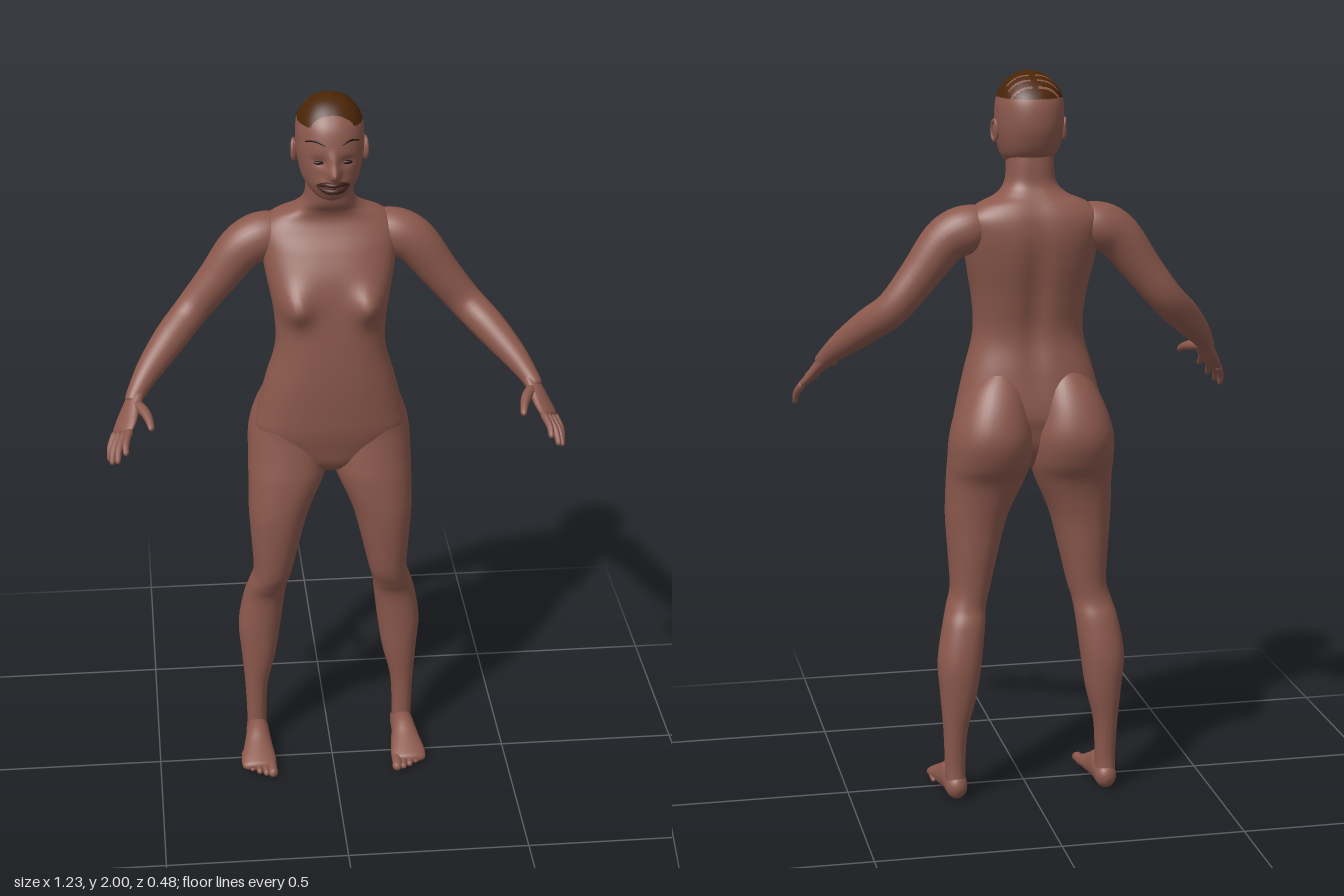
import * as THREE from 'three';

const V = (x, y, z) => new THREE.Vector3(x, y, z);
const bump = (a, s) => Math.exp(-(a * a) / (s * s));

// Closed smooth surface through a list of equally sized rings
function skin(rings) {
  const n = rings[0].length, pos = [], idx = [];
  rings.forEach(r => r.forEach(p => pos.push(p.x, p.y, p.z)));
  for (let i = 0; i < rings.length - 1; i++) {
    for (let j = 0; j < n; j++) {
      const a = i * n + j, b = i * n + (j + 1) % n;
      idx.push(a, b, a + n, b, b + n, a + n);
    }
  }
  const last = (rings.length - 1) * n, c0 = rings.length * n, c1 = c0 + 1;
  [rings[0], rings[rings.length - 1]].forEach(r => {
    const c = r.reduce((s, p) => s.add(p), V(0, 0, 0)).divideScalar(n);
    pos.push(c.x, c.y, c.z);
  });
  for (let j = 0; j < n; j++) {
    const k = (j + 1) % n;
    idx.push(c0, k, j, c1, last + j, last + k);
  }
  const g = new THREE.BufferGeometry();
  g.setAttribute('position', new THREE.Float32BufferAttribute(pos, 3));
  g.setIndex(idx);
  g.computeVertexNormals();
  return g;
}

const spline = pts => new THREE.CatmullRomCurve3(pts, false, 'catmullrom', 0.5);

// Horizontal sections: [y, centre x, half width, front z, back z]
function shell(rows, { steps = 70, sides = 48, power = 2.2, tweak = null } = {}) {
  const a = spline(rows.map(r => V(r[1], r[0], r[2])));
  const b = spline(rows.map(r => V(r[3], r[4], 0)));
  const rings = [];
  for (let i = 0; i <= steps; i++) {
    const p = a.getPoint(i / steps), q = b.getPoint(i / steps), ring = [];
    for (let j = 0; j < sides; j++) {
      const t = (j / sides) * Math.PI * 2, c = Math.cos(t), s = -Math.sin(t);
      const sup = v => Math.sign(v) * Math.abs(v) ** (2 / power);
      const v = V(p.x + p.z * sup(c), p.y, (q.x + q.y) / 2 + ((q.x - q.y) / 2) * sup(s));
      if (tweak) tweak(v, s > 0);
      ring.push(v);
    }
    rings.push(ring);
  }
  return skin(rings);
}

// Round-ended limb along a path: [x, y, z, radius across, other radius]
function limb(rows, across = V(0, 0, 1), steps = 18, sides = 14) {
  const path = spline(rows.map(r => V(r[0], r[1], r[2])));
  const size = spline(rows.map(r => V(r[3], r[4] ?? r[3], 0)));
  const len = path.getLength(), rings = [];
  for (let i = 0; i <= steps; i++) {
    const u = 0.5 - 0.5 * Math.cos(Math.PI * i / steps);
    const p = path.getPoint(u), r = size.getPoint(u), t = path.getTangent(u);
    const a = across.clone().addScaledVector(t, -across.dot(t)).normalize();
    const b = V(0, 0, 0).crossVectors(t, a);
    const d = Math.min(u, 1 - u) * len, m = Math.min(r.x, r.y);
    const f = Math.max(0.02, d < m ? Math.sqrt(1 - (1 - d / m) ** 2) : 1);
    rings.push(Array.from({ length: sides }, (_, j) => {
      const w = (j / sides) * Math.PI * 2;
      return p.clone().addScaledVector(a, Math.cos(w) * r.x * f).addScaledVector(b, Math.sin(w) * r.y * f);
    }));
  }
  return skin(rings);
}

// Sort triangles into two material groups by their centre
function splitByRegion(g, inside) {
  const p = g.attributes.position, src = g.index.array, lists = [[], []];
  for (let i = 0; i < src.length; i += 3) {
    const c = V(0, 0, 0);
    for (let k = 0; k < 3; k++) c.add(V(0, 0, 0).fromBufferAttribute(p, src[i + k]));
    lists[inside(c.divideScalar(3)) ? 1 : 0].push(src[i], src[i + 1], src[i + 2]);
  }
  g.setIndex([...lists[0], ...lists[1]]);
  g.addGroup(0, lists[0].length, 0);
  g.addGroup(lists[0].length, lists[1].length, 1);
  return g;
}

export function createModel() {
  const mat = (name, color) => Object.assign(new THREE.MeshStandardMaterial({ color }), { name });
  const skinMat = mat('skin', 0x8c594d), hairMat = mat('hair', 0x4a2507);
  const lipMat = mat('lips', 0x44211c), darkMat = mat('eyes', 0x1f120f);
  const model = new THREE.Group();
  model.name = 'figure';
  const add = (parent, name, geo, m = skinMat) => {
    const mesh = new THREE.Mesh(geo, m);
    mesh.name = name;
    parent.add(mesh);
    return mesh;
  };

  // Torso and neck
  add(model, 'torso', shell([
    [0.93, 0, 0.05, -0.01, -0.09], [0.96, 0, 0.12, 0.01, -0.13], [1.0, 0, 0.18, 0.022, -0.16],
    [1.05, 0, 0.205, 0.035, -0.175], [1.1, 0, 0.2, 0.042, -0.185], [1.2, 0, 0.175, 0.05, -0.172],
    [1.3, 0, 0.149, 0.05, -0.157], [1.4, 0, 0.153, 0.043, -0.174], [1.5, 0, 0.172, 0.03, -0.197],
    [1.57, 0, 0.182, 0, -0.207], [1.62, 0, 0.185, -0.03, -0.202], [1.655, 0, 0.15, -0.045, -0.187],
    [1.68, 0, 0.095, -0.04, -0.168], [1.71, 0, 0.068, -0.022, -0.153], [1.76, 0, 0.062, -0.014, -0.15],
    [1.82, 0, 0.058, -0.02, -0.145],
  ], {
    steps: 100, sides: 72, power: 2.4,
    tweak: (v, front) => {
      if (front) v.z += 0.044 * bump(Math.abs(v.x) - 0.1, 0.045) * bump(v.y - 1.44, 0.05);
      else v.z += 0.016 * bump(v.x, 0.03) * bump(v.y - 1.4, 0.2);
    },
  }));

  // Head, with the short hair as a region of the scalp
  const head = shell([
    [1.733, 0, 0.02, 0.01, -0.05], [1.745, 0, 0.045, 0.026, -0.085], [1.78, 0, 0.073, 0.036, -0.15],
    [1.83, 0, 0.086, 0.042, -0.178], [1.88, 0, 0.09, 0.041, -0.186], [1.93, 0, 0.086, 0.028, -0.178],
    [1.965, 0, 0.068, 0.002, -0.15], [1.988, 0, 0.042, -0.028, -0.115], [2.0, 0, 0.004, -0.065, -0.075],
  ], {
    steps: 110, sides: 96,
    tweak: (v, front) => {
      if (!front) return;
      const ax = Math.abs(v.x);
      v.z += 0.032 * bump(v.x, 0.015) * bump(v.y - 1.818, 0.018);
      v.z += 0.014 * bump(v.x, 0.012) * bump(v.y - 1.845, 0.025);
      v.z += 0.022 * bump(v.x, 0.035) * bump(v.y - 1.785, 0.02);
      v.z -= 0.008 * bump(ax - 0.036, 0.02) * bump(v.y - 1.848, 0.014);
    },
  });
  const parting = [-0.112, -0.134, -0.155];
  add(model, 'headAndHair', splitByRegion(head, c => {
    const ax = Math.abs(c.x);
    const gap = ax > 0.008 && ax < 0.066 && parting.some(z => Math.abs(c.z - z - ax * 0.1) < 0.003);
    return c.y > 1.932 && c.z < 0.004 && !gap;
  }), [skinMat, hairMat]);

  // Lips
  [[1.793, 0.006], [1.777, 0.007]].forEach(([y, r], i) => add(model, i ? 'lowerLip' : 'upperLip', limb([
    [-0.042, 1.784, 0.028, 0.003], [-0.022, y, 0.051, r], [0, y, 0.062, r],
    [0.022, y, 0.051, r], [0.042, 1.784, 0.028, 0.003],
  ], V(0, 1, 0)), lipMat));

  // One side of the body, later mirrored
  const side = new THREE.Group();
  side.name = 'leftSide';

  // Eye, brow and ear
  const eye = add(side, 'eye', new THREE.SphereGeometry(1, 20, 12), darkMat);
  eye.scale.set(0.014, 0.005, 0.006);
  eye.position.set(0.037, 1.846, 0.03);
  add(side, 'brow', limb([[0.02, 1.892, 0.036, 0.002], [0.045, 1.902, 0.024, 0.003],
    [0.07, 1.895, 0.002, 0.002]], V(0, 1, 0), 10, 8), darkMat);
  const ear = new THREE.Group();
  ear.name = 'ear';
  ear.position.set(0.09, 1.845, -0.078);
  ear.rotation.set(-0.15, 0.3, 0);
  add(ear, 'earBody', new THREE.SphereGeometry(1, 18, 12)).scale.set(0.007, 0.028, 0.016);
  const rim = add(ear, 'earRim', new THREE.TorusGeometry(0.02, 0.005, 8, 24));
  rim.rotation.y = Math.PI / 2;
  rim.scale.set(0.75, 1.3, 1);
  rim.position.x = 0.004;
  side.add(ear);

  // Leg, rising into the hip and buttock
  add(side, 'leg', shell([
    [0.03, 0.213, 0.028, -0.06, -0.134], [0.1, 0.213, 0.028, -0.06, -0.131], [0.2, 0.212, 0.033, -0.055, -0.145],
    [0.3, 0.204, 0.049, -0.045, -0.163], [0.4, 0.2, 0.06, -0.04, -0.17], [0.5, 0.186, 0.058, -0.032, -0.155],
    [0.55, 0.176, 0.054, -0.01, -0.138], [0.6, 0.163, 0.054, 0.012, -0.136], [0.7, 0.154, 0.068, 0.03, -0.146],
    [0.8, 0.144, 0.084, 0.04, -0.156], [0.9, 0.122, 0.105, 0.038, -0.18], [0.96, 0.114, 0.112, 0.03, -0.215],
    [1.03, 0.111, 0.111, 0.02, -0.236], [1.1, 0.106, 0.096, 0.015, -0.222], [1.17, 0.095, 0.07, -0.01, -0.186],
    [1.22, 0.085, 0.025, -0.06, -0.145],
  ], { steps: 80, sides: 40 }));

  // Foot and toes
  add(side, 'foot', limb([
    [0.212, 0.034, -0.14, 0.026, 0.03], [0.212, 0.04, -0.1, 0.031, 0.039], [0.213, 0.047, -0.05, 0.034, 0.046],
    [0.215, 0.035, 0.0, 0.042, 0.035], [0.217, 0.024, 0.05, 0.05, 0.023], [0.217, 0.016, 0.085, 0.045, 0.014],
  ], V(1, 0, 0), 30, 24));
  for (let i = 0; i < 5; i++) {
    const x = 0.181 + 0.019 * i, r = i ? 0.01 - 0.0006 * i : 0.014, tip = 0.118 - 0.003 * i - 0.0025 * i * i;
    add(side, 'toe', limb([[x, 0.018, tip - 0.07, r], [x, 0.019, tip - 0.03, r], [x - 0.003, 0.012, tip, r]],
      V(1, 0, 0), 12, 10));
  }

  // Arm from shoulder to wrist
  add(side, 'arm', limb([
    [0.1, 1.6, -0.12, 0.045], [0.17, 1.592, -0.117, 0.064], [0.232, 1.562, -0.11, 0.062],
    [0.3, 1.475, -0.108, 0.053], [0.37, 1.388, -0.102, 0.047], [0.43, 1.332, -0.05, 0.045],
    [0.488, 1.275, 0.012, 0.036], [0.525, 1.232, 0.06, 0.026], [0.542, 1.205, 0.09, 0.022],
  ], V(0, 0, 1), 50, 28));

  // Palm, fingers and thumb
  const across = V(-0.04, 0.025, 0.04).normalize();
  add(side, 'palm', limb([
    [0.522, 1.235, 0.055, 0.022, 0.02], [0.54, 1.205, 0.09, 0.03, 0.018],
    [0.558, 1.172, 0.125, 0.04, 0.015], [0.573, 1.148, 0.153, 0.038, 0.012],
  ], across, 20, 20));
  const tips = [[0.562, 1.13, 0.24], [0.585, 1.1, 0.228], [0.6, 1.086, 0.205], [0.606, 1.08, 0.172]];
  tips.forEach((t, i) => {
    const k = V(0.568, 1.156, 0.145).addScaledVector(across, 0.029 - 0.0195 * i);
    const m = k.clone().lerp(V(...t), 0.55).add(V(0.005, 0.004, 0.003));
    add(side, 'finger', limb([[k.x, k.y, k.z, 0.0105], [m.x, m.y, m.z, 0.0095], [...t, 0.007]], across, 14, 10));
  });
  add(side, 'thumb', limb([[0.535, 1.212, 0.09, 0.014], [0.51, 1.205, 0.135, 0.014],
    [0.498, 1.195, 0.17, 0.011], [0.492, 1.18, 0.2, 0.008]], across, 14, 10));

  const mirrored = side.clone();
  mirrored.name = 'rightSide';
  mirrored.scale.x = -1;
  model.add(side, mirrored);
  return model;
}
